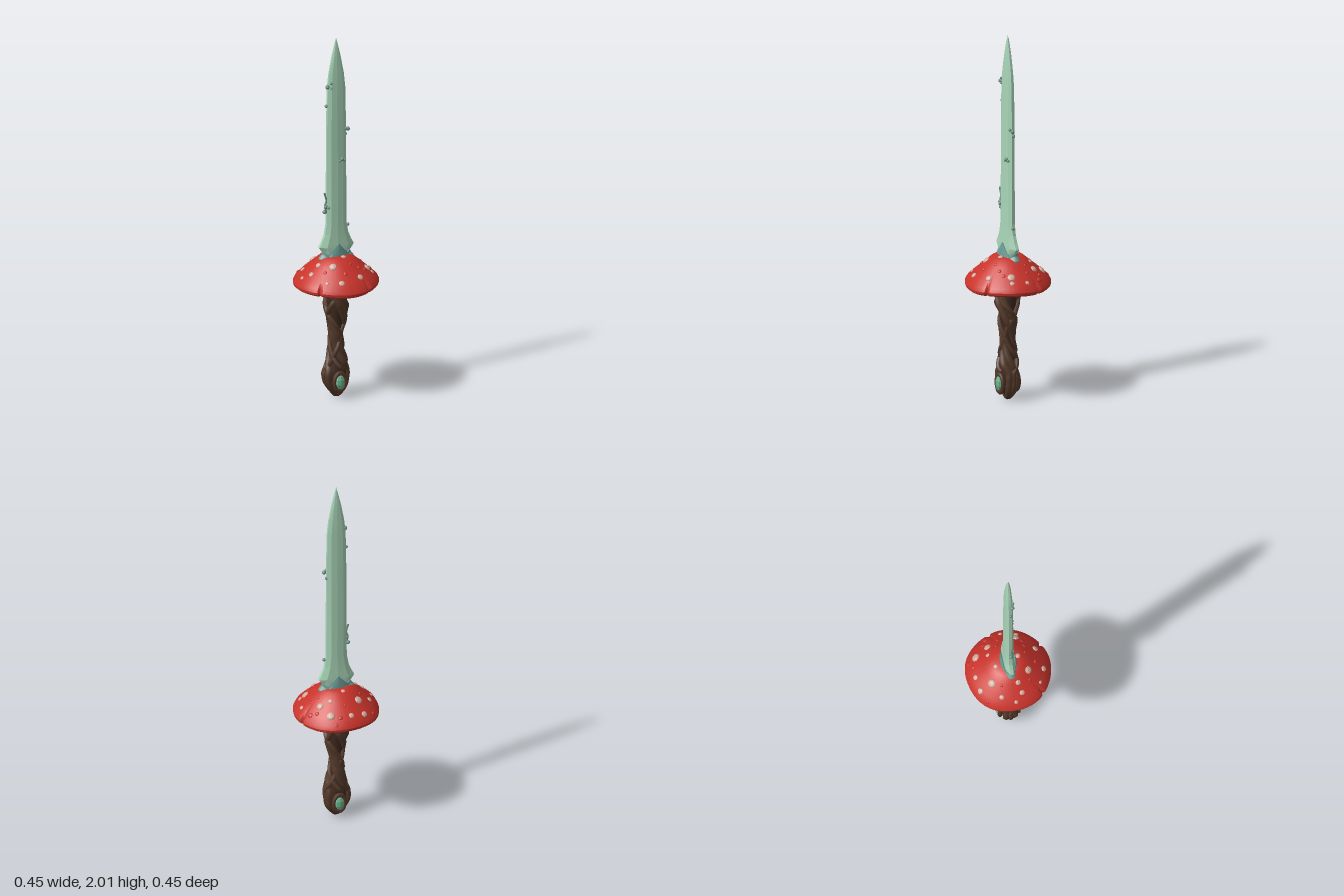
import * as THREE from 'three';
import { toCreasedNormals } from 'three/addons/utils/BufferGeometryUtils.js';

const mat = (name, color, extra = {}) => Object.assign(new THREE.MeshStandardMaterial({ color, ...extra }), { name });

// Skin a stack of rings (bottom to top, angle running from +x to +z)
function loft(rings, crease = 0.3) {
  const n = rings[0].length, pos = rings.flat(2), idx = [];
  for (let i = 0; i < rings.length - 1; i++)
    for (let j = 0; j < n; j++) {
      const a = i * n + j, c = i * n + (j + 1) % n;
      idx.push(a, a + n, c, c, a + n, c + n);
    }
  const g = new THREE.BufferGeometry();
  g.setAttribute('position', new THREE.Float32BufferAttribute(pos, 3));
  g.setIndex(idx);
  return toCreasedNormals(g, crease);
}

// Linear lookup in a list of [key, value] pairs
function lookup(table, k) {
  for (let i = 1; i < table.length; i++) {
    const [k0, v0] = table[i - 1], [k1, v1] = table[i];
    if (k <= k1) return v0 + (v1 - v0) * Math.max(0, (k - k0) / (k1 - k0));
  }
  return table[table.length - 1][1];
}

export function createModel() {
  const root = new THREE.Group();
  root.name = 'mushroomSword';
  const mint = mat('bladeMint', 0xa9d5b8);
  const teal = mat('collarTeal', 0x6f9f98, { side: THREE.DoubleSide });
  const moss = mat('nodeGreen', 0x6f9483);
  const red = mat('capRed', 0xc9332b);
  const cream = mat('spotCream', 0xd3ab9c);
  const gill = mat('gillTaupe', 0xa58f84);
  const brown = mat('vineBrown', 0x553a2b);
  const dark = mat('coreBrown', 0x3d291e);
  const green = mat('gemGreen', 0x6cb48c);
  const add = (name, geo, material, parent = root) => {
    const m = new THREE.Mesh(geo, material);
    m.name = name;
    parent.add(m);
    return m;
  };
  const group = (name) => {
    const g = new THREE.Group();
    g.name = name;
    root.add(g);
    return g;
  };

  // Blade: ridged faces, bevels and blunt edges; rows are [y, half width, half depth, half edge]
  const bladeRows = [[0.76, 0.055, 0.028, 0.01], [0.8, 0.07, 0.03, 0.01], [0.84, 0.098, 0.03, 0.009],
    [0.87, 0.082, 0.028, 0.009], [0.91, 0.066, 0.026, 0.009], [0.97, 0.056, 0.024, 0.009],
    [1.5, 0.054, 0.022, 0.008], [1.72, 0.05, 0.02, 0.008], [1.8, 0.042, 0.018, 0.007],
    [1.9, 0.024, 0.013, 0.005], [1.96, 0.01, 0.007, 0.003], [2, 0.0005, 0.0005, 0.0003]];
  add('blade', loft(bladeRows.map(([y, w, d, e]) => [
    [w, e], [w * 0.62, d * 0.88], [0, d], [-w * 0.62, d * 0.88], [-w, e],
    [-w, -e], [-w * 0.62, -d * 0.88], [0, -d], [w * 0.62, -d * 0.88], [w, -e],
  ].map(([x, z]) => [x, y, z])), 0.1), mint);

  // Collar with a zigzag upper edge, plus the ring below the cap
  const ellipse = (rx, rz, yAt) => Array.from({ length: 32 }, (_, i) => {
    const a = i / 32 * Math.PI * 2, x = Math.cos(a) * rx;
    return [x, yAt(Math.abs(Math.cos(a))), Math.sin(a) * rz];
  });
  const zigzag = (c) => lookup([[0, 0.862], [0.5, 0.815], [0.7, 0.8], [1, 0.815]], c);
  add('collar', loft([
    ellipse(0.098, 0.043, () => 0.755), ellipse(0.098, 0.044, () => 0.778),
    ellipse(0.08, 0.039, (c) => zigzag(c) - 0.015), ellipse(0.08, 0.036, zigzag),
    ellipse(0.05, 0.02, zigzag),
  ]), teal);
  add('lowerRing', new THREE.CylinderGeometry(0.068, 0.06, 0.05, 16), teal).position.y = 0.63;

  // Mushroom cap: lathe with a wavy rim and three splits
  const splits = [[0.21, -0.058], [0.1, 0.19], [-0.155, 0.145]].map(([x, z]) => Math.atan2(z, x));
  const capProfile = [[0.2, 0.628], [0.213, 0.621], [0.224, 0.63], [0.226, 0.643], [0.217, 0.662], [0.19, 0.69],
    [0.155, 0.722], [0.12, 0.752], [0.085, 0.782], [0.06, 0.79], [0, 0.792]];
  const reshape = (geo, pleat) => {
    const p = geo.attributes.position;
    for (let i = 0; i < p.count; i++) {
      const x = p.getX(i), z = p.getZ(i), r = Math.hypot(x, z), a = Math.atan2(z, x);
      const outer = THREE.MathUtils.smoothstep(r, 0.17, 0.22);
      let k = 1 + 0.008 * Math.sin(a * 5 + 1) * outer;
      for (const s of splits) {
        const d = Math.abs(Math.atan2(Math.sin(a - s), Math.cos(a - s)));
        k -= 0.07 * Math.max(0, 1 - d / 0.06) * outer;
      }
      const ridge = pleat ? pleat * Math.cos(a * 36) * Math.min(1, r / 0.1) : 0;
      p.setXYZ(i, x * k, p.getY(i) + ridge + 0.004 * Math.sin(a * 3) * outer, z * k);
    }
    return toCreasedNormals(geo, 0.5);
  };
  const lathe = (pts) => new THREE.LatheGeometry(pts.map(([r, y]) => new THREE.Vector2(r, y)), 144);
  add('cap', reshape(lathe(capProfile), 0), red);
  add('gills', reshape(lathe([[0, 0.655], [0.06, 0.65], [0.13, 0.645], [0.185, 0.635], [0.205, 0.628]]), 0.004), gill);

  // Warts on the cap: [x, z, radius]
  const creamSpots = [[-0.095, -0.17, 0.017], [-0.02, -0.18, 0.015], [0.087, -0.155, 0.023], [-0.085, -0.107, 0.022],
    [-0.16, -0.07, 0.014], [-0.195, 0, 0.011], [-0.16, 0.04, 0.015], [-0.115, 0.028, 0.015], [-0.06, 0.095, 0.021],
    [-0.047, 0.18, 0.016], [0.068, 0.16, 0.017], [0.147, 0.07, 0.021], [0.172, 0.08, 0.013], [0.193, 0, 0.012],
    [0.12, -0.085, 0.019], [0.068, -0.095, 0.012], [-0.013, -0.07, 0.012], [0.018, 0.055, 0.014], [-0.117, 0.147, 0.01]];
  const redSpots = [[0.04, -0.18, 0.012], [-0.112, -0.06, 0.008], [0.15, -0.025, 0.009], [0.085, 0.105, 0.011],
    [0.04, 0.1, 0.009], [-0.105, 0.095, 0.01], [-0.01, 0.145, 0.012], [0.12, 0.1, 0.011], [0.07, -0.2, 0.012],
    [-0.155, -0.145, 0.009], [0.145, -0.105, 0.012], [0, -0.135, 0.007], [0.11, -0.04, 0.008], [0.175, -0.085, 0.014]];
  const surface = capProfile.slice(3).map(([r, y]) => [r, y]).reverse();
  const warts = group('capWarts');
  const wart = ([x, z, r], material) => {
    const d = Math.hypot(x, z), y = lookup(surface, d);
    const slope = (lookup(surface, d - 0.012) - lookup(surface, d + 0.012)) / 0.024;
    const m = add('wart', toCreasedNormals(new THREE.SphereGeometry(r, 8, 6), 0.1), material, warts);
    m.position.set(x, y, z);
    m.quaternion.setFromUnitVectors(new THREE.Vector3(0, 1, 0), new THREE.Vector3(x / d * slope, 1, z / d * slope).normalize());
    m.scale.y = 0.45;
  };
  creamSpots.forEach((s) => wart(s, cream));
  redSpots.forEach((s) => wart(s, red));

  // Handle: dark core wrapped in twisting vines
  const grip = [[0, 0.012], [0.03, 0.04], [0.07, 0.068], [0.12, 0.078], [0.17, 0.068], [0.23, 0.054], [0.3, 0.044],
    [0.38, 0.046], [0.45, 0.06], [0.52, 0.07], [0.58, 0.064], [0.64, 0.055]];
  const radius = (y) => lookup(grip, y);
  add('handleCore', new THREE.LatheGeometry([new THREE.Vector2(0, 0.004),
    ...grip.map(([y, r]) => new THREE.Vector2(r * 0.72, y + 0.004))], 16), dark);
  const vines = group('handleVines');
  const vine = (start, turns, thick, lift, y0 = 0.015) => {
    const pts = [];
    for (let i = 0; i <= 28; i++) {
      const y = y0 + (0.635 - y0) * i / 28;
      const a = start + turns * Math.PI * 2 * Math.max(0, y - 0.15) / 0.48;
      const r = Math.max(0.004, radius(y) - thick + lift * Math.sin(y * 40 + start));
      const flat = y < 0.17 ? 0.88 : 1;
      pts.push(new THREE.Vector3(Math.cos(a) * r, y, Math.sin(a) * r * flat));
    }
    add('vine', new THREE.TubeGeometry(new THREE.CatmullRomCurve3(pts), 70, thick, 7), brown, vines);
    const end = add('vineEnd', new THREE.SphereGeometry(thick, 8, 6), brown, vines);
    end.position.copy(pts[0]);
  };
  [0.45, Math.PI - 0.45, Math.PI + 0.45, -0.45].forEach((a) => vine(a, 0.9, 0.02, 0.003));
  [0, Math.PI].forEach((a) => vine(a, -0.8, 0.013, 0.004));
  [1.2, 1.2 + Math.PI].forEach((a) => vine(a, 1.2, 0.012, 0.002, 0.16));

  // Pommel gems in vine frames, front and back
  for (const side of [1, -1]) {
    const gem = add('pommelGem', toCreasedNormals(new THREE.SphereGeometry(1, 8, 5), 0.1), green);
    gem.scale.set(0.027, 0.042, 0.018);
    gem.position.set(0, 0.09, side * 0.052);
    const frame = add('gemFrame', new THREE.TorusGeometry(0.032, 0.01, 8, 20), brown);
    frame.scale.y = 1.5;
    frame.position.set(0, 0.09, side * 0.05);
  }

  // Small round growths clinging to the blade: [x, y, z, radius]
  const growths = group('bladeGrowths');
  [[-0.053, 1.735, 0.01, 0.012], [-0.036, 1.755, 0.018, 0.007], [-0.034, 1.728, 0.018, 0.006],
    [-0.056, 1.625, 0, 0.009], [0.064, 1.485, 0.01, 0.011], [0.05, 1.492, 0.018, 0.008], [0.054, 1.455, -0.002, 0.009],
    [0.025, 1.325, 0.024, 0.011], [0.038, 1.318, 0.022, 0.008], [0.012, 1.316, 0.024, 0.007],
    [-0.062, 1.065, 0.008, 0.011], [-0.05, 1.06, 0.016, 0.009], [-0.066, 1.035, 0, 0.011], [0.064, 0.95, 0.008, 0.009],
  ].forEach(([x, y, z, r]) => add('growth', new THREE.SphereGeometry(r, 8, 6), moss, growths).position.set(x, y, z));
  const curl = [[-0.058, 1.03], [-0.066, 1.07], [-0.058, 1.1], [-0.066, 1.13], [-0.07, 1.145]];
  add('tendril', new THREE.TubeGeometry(new THREE.CatmullRomCurve3(
    curl.map(([x, y]) => new THREE.Vector3(x, y, 0.006))), 20, 0.005, 6), moss, growths);

  return root;
}
